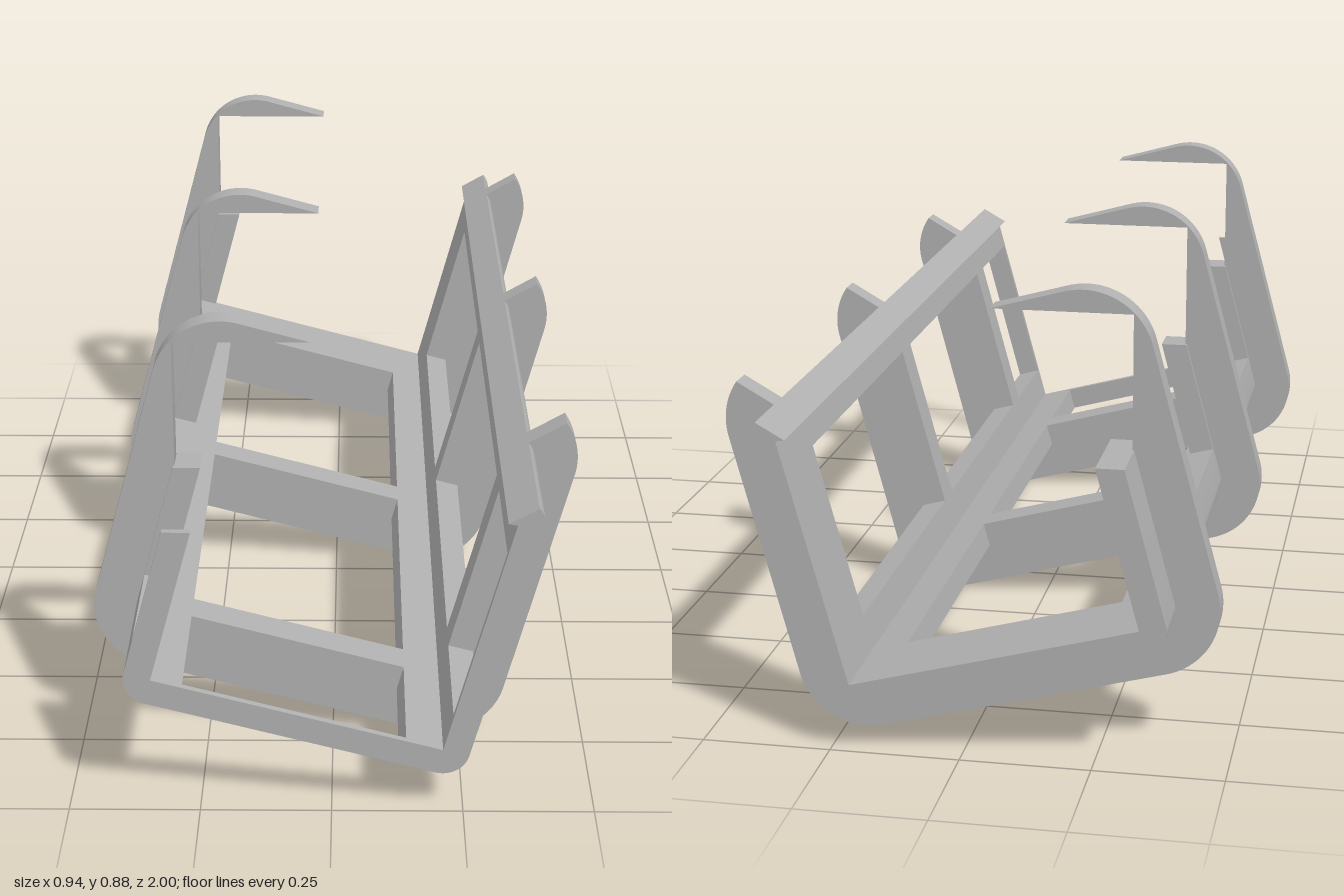
import * as THREE from 'three';
import { toCreasedNormals } from 'three/addons/utils/BufferGeometryUtils.js';

const DEG = Math.PI / 180;
const SHELL = 0.051; // wall thickness of the tray
const RIB = 0.135;   // outer reach of the ribs from the tray's inside face

// Tray axes, tilted 15 degrees: across the floor and up the walls
const across = new THREE.Vector2(Math.cos(15 * DEG), -Math.sin(15 * DEG));
const up = new THREE.Vector2(Math.sin(15 * DEG), Math.cos(15 * DEG));

// Inside corners of the tray, top of the right-hand wall, centre of the hook bend
const L = new THREE.Vector2(-0.337, 0.282);
const R = new THREE.Vector2(0.21, 0.135);
const P = new THREE.Vector2(0.336, 0.605);
const C = new THREE.Vector2(-0.212, 0.752);

const at = (p, a, u) => p.clone().addScaledVector(across, a).addScaledVector(up, u);
const arc = (s, c, r, from, to) => s.absarc(c.x, c.y, r, from * DEG, to * DEG, to < from);
const line = (s, ...pts) => pts.forEach((p) => s.lineTo(p.x, p.y));
const begin = (p) => new THREE.Shape().moveTo(p.x, p.y);

// Whole U-shaped section of the tray
function traySection() {
  const s = new THREE.Shape();
  s.moveTo(-0.255, 0.588);
  s.lineTo(-0.308, 0.588);
  arc(s, L, SHELL, 165, 255);
  arc(s, R, SHELL, 255, 345);
  arc(s, P, SHELL, -15, 42);
  s.lineTo(0.319, 0.608);
  line(s, P, R, L);
  return s;
}

// Lengthwise rails left between the openings
function leftRailSection() {
  const s = begin(at(L, 0, 0.065));
  line(s, at(L, -SHELL, 0.065));
  arc(s, L, SHELL, 165, 255);
  line(s, at(L, 0.06, -SHELL), at(L, 0.06, 0), L);
  return s;
}

function cornerRailSection() {
  const s = begin(at(R, -0.072, 0));
  line(s, at(R, -0.072, -SHELL));
  arc(s, R, SHELL, 255, 345);
  line(s, at(R, SHELL, 0.071), at(R, 0, 0.071), R);
  return s;
}

function topRailSection() {
  const s = begin(at(P, 0, -0.064));
  line(s, at(P, SHELL, -0.064));
  arc(s, P, SHELL, -15, 42);
  s.lineTo(0.319, 0.608);
  line(s, P);
  return s;
}

// Outer rib that wraps the tray and ends in a hook
function ribSection() {
  const s = new THREE.Shape();
  s.moveTo(-0.04, 0.843);
  s.lineTo(-0.305, 0.843);
  s.lineTo(-0.305, 0.588);
  s.lineTo(-0.308, 0.588);
  arc(s, L, SHELL, 165, 255);
  arc(s, R, SHELL, 255, 345);
  arc(s, P, SHELL, -15, 42);
  arc(s, P, 0.133, 34.5, -15);
  arc(s, R, RIB, 345, 255);
  arc(s, L, RIB, 255, 165);
  arc(s, C, 0.133, 165, 75);
  return s;
}

export function createModel() {
  const model = new THREE.Group();
  model.name = 'hookedTray';
  const grey = new THREE.MeshStandardMaterial({ color: 0xb0b0b0 });
  grey.name = 'grey';

  const add = (name, section, z0, z1) => {
    const geo = new THREE.ExtrudeGeometry(section, { depth: z1 - z0, bevelEnabled: false, curveSegments: 16 });
    geo.translate(0, 0, z0);
    const mesh = new THREE.Mesh(toCreasedNormals(geo, 0.4), grey);
    mesh.name = name;
    model.add(mesh);
  };

  // Full bands: wide rear end, two under the ribs, thin front frame
  const bands = [[-1, -0.82], [-0.12, -0.05], [0.65, 0.722], [0.987, 1]];
  const names = ['rearBand', 'middleBand', 'forwardBand', 'frontFrame'];
  bands.forEach(([z0, z1], i) => add(names[i], traySection(), z0, z1));

  // Rails bridging each gap between bands
  for (let i = 0; i < bands.length - 1; i++) {
    const z0 = bands[i][1], z1 = bands[i + 1][0];
    add('leftRail', leftRailSection(), z0, z1);
    add('cornerRail', cornerRailSection(), z0, z1);
    add('topRail', topRailSection(), z0, z1);
  }

  // Hooked ribs
  for (const z of [-0.857, -0.085, 0.686]) add('hookRib', ribSection(), z - 0.025, z + 0.025);

  return model;
}
